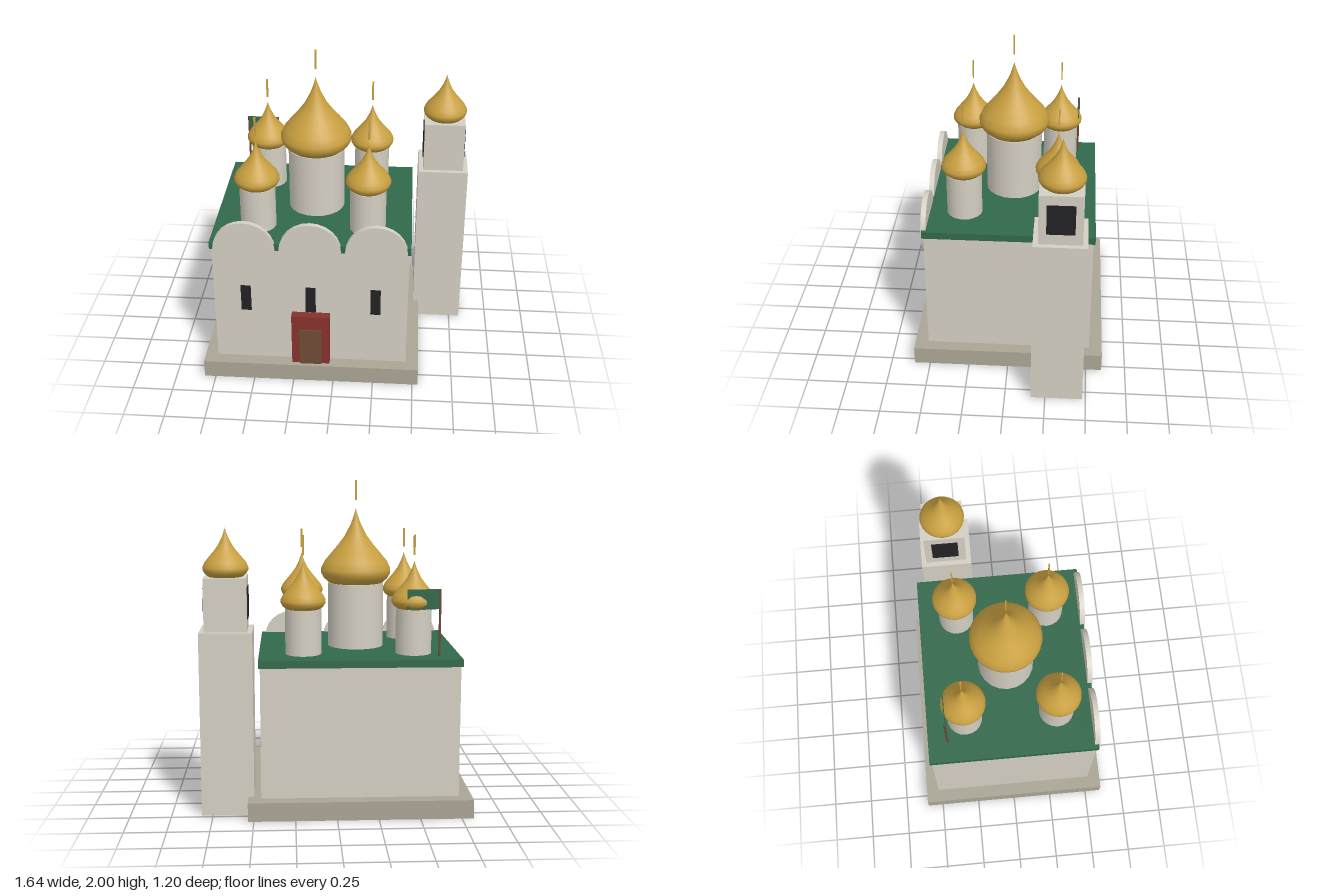
import * as THREE from 'three';

const mat = (name, color, side = THREE.FrontSide) => {
  const m = new THREE.MeshStandardMaterial({ color, side });
  m.name = name;
  return m;
};

export function createModel() {
  const model = new THREE.Group();
  model.name = 'church';
  const wall = mat('whitewash', 0xd4cfc3);
  const stone = mat('plinth stone', 0xaaa595);
  const green = mat('roof green', 0x32694b);
  const gold = mat('gold', 0xc9a040, THREE.DoubleSide);
  const red = mat('portal red', 0x87322c);
  const brown = mat('door brown', 0x6e4b34);
  const dark = mat('opening dark', 0x222224);

  const add = (name, geometry, material, x = 0, y = 0, z = 0) => {
    const mesh = new THREE.Mesh(geometry, material);
    mesh.name = name;
    mesh.position.set(x, y, z);
    model.add(mesh);
    return mesh;
  };
  // Box given by its limits on each axis
  const box = (name, material, [x0, x1], [y0, y1], [z0, z1]) =>
    add(name, new THREE.BoxGeometry(x1 - x0, y1 - y0, z1 - z0), material,
      (x0 + x1) / 2, (y0 + y1) / 2, (z0 + z1) / 2);

  // Onion profile: [radius, height] of the large dome
  const onion = [[0, 0], [0.165, 0], [0.2, 0.03], [0.217, 0.06], [0.219, 0.09], [0.197, 0.137],
    [0.153, 0.19], [0.108, 0.243], [0.069, 0.296], [0.031, 0.37], [0.013, 0.42], [0, 0.465]];
  const dome = (name, scale, x, y, z) => add(name, new THREE.LatheGeometry(
    onion.map(([r, h]) => new THREE.Vector2(r * scale, h * scale)), 28), gold, x, y, z);
  const spire = (x, y, z) =>
    add('spire', new THREE.BoxGeometry(0.012, 0.122, 0.008), gold, x, y + 0.061, z);
  const drum = (name, r, y1, x, z) =>
    add(name, new THREE.CylinderGeometry(r, r, y1 - 0.95, 20), wall, x, (y1 + 0.95) / 2, z);

  const cx = -0.142;

  // Main body
  box('plinth', stone, [-0.82, 0.535], [0, 0.115], [-0.6, 0.6]);
  box('walls', wall, [-0.74, 0.456], [0.115, 0.92], [-0.517, 0.517]);
  box('roof', green, [-0.752, 0.466], [0.915, 0.96], [-0.528, 0.528]);

  // Round gables and windows on the front
  for (const x of [cx - 0.4, cx, cx + 0.4]) {
    add('gable', new THREE.CylinderGeometry(0.189, 0.189, 0.032, 24), wall, x, 0.915, 0.519)
      .rotation.x = Math.PI / 2;
    box('window', dark, [x - 0.031, x + 0.031], [0.475, 0.652], [0.517, 0.526]);
  }

  // Portal and door
  box('portal', red, [cx - 0.118, cx + 0.118], [0.115, 0.468], [0.515, 0.569]);
  box('door', brown, [cx - 0.069, cx + 0.069], [0.115, 0.37], [0.565, 0.579]);

  // Central dome and four corner domes
  drum('centralDrum', 0.175, 1.362, cx, 0);
  dome('centralDome', 1, cx, 1.36, 0);
  spire(cx, 1.878, 0);
  for (const sx of [-1, 1]) for (const sz of [-1, 1]) {
    const x = cx + sx * 0.337, z = sz * 0.288;
    drum('cornerDrum', 0.11, 1.237, x, z);
    dome('cornerDome', 0.626, x, 1.235, z);
    spire(x, 1.56, z);
  }

  // Flag on the roof
  add('flagPole', new THREE.CylinderGeometry(0.007, 0.007, 0.415, 8), brown, -0.623, 1.157, -0.405);
  box('flag', green, [-0.62, -0.425], [1.245, 1.365], [-0.408, -0.402]);

  // Bell tower with openings facing sideways
  const tx = 0.658, tz = -0.32;
  box('tower', wall, [tx - 0.159, tx + 0.159], [0.001, 1.12], [tz - 0.159, tz + 0.159]);
  box('belfry', wall, [tx - 0.128, tx + 0.128], [1.12, 1.44], [tz - 0.128, tz + 0.128]);
  for (const s of [-1, 1]) {
    add('belfryOpening', new THREE.BoxGeometry(0.009, 0.19, 0.165), dark, tx + s * 0.129, 1.285, tz);
  }
  dome('towerDome', 0.626, tx, 1.44, tz);

  return model;
}
